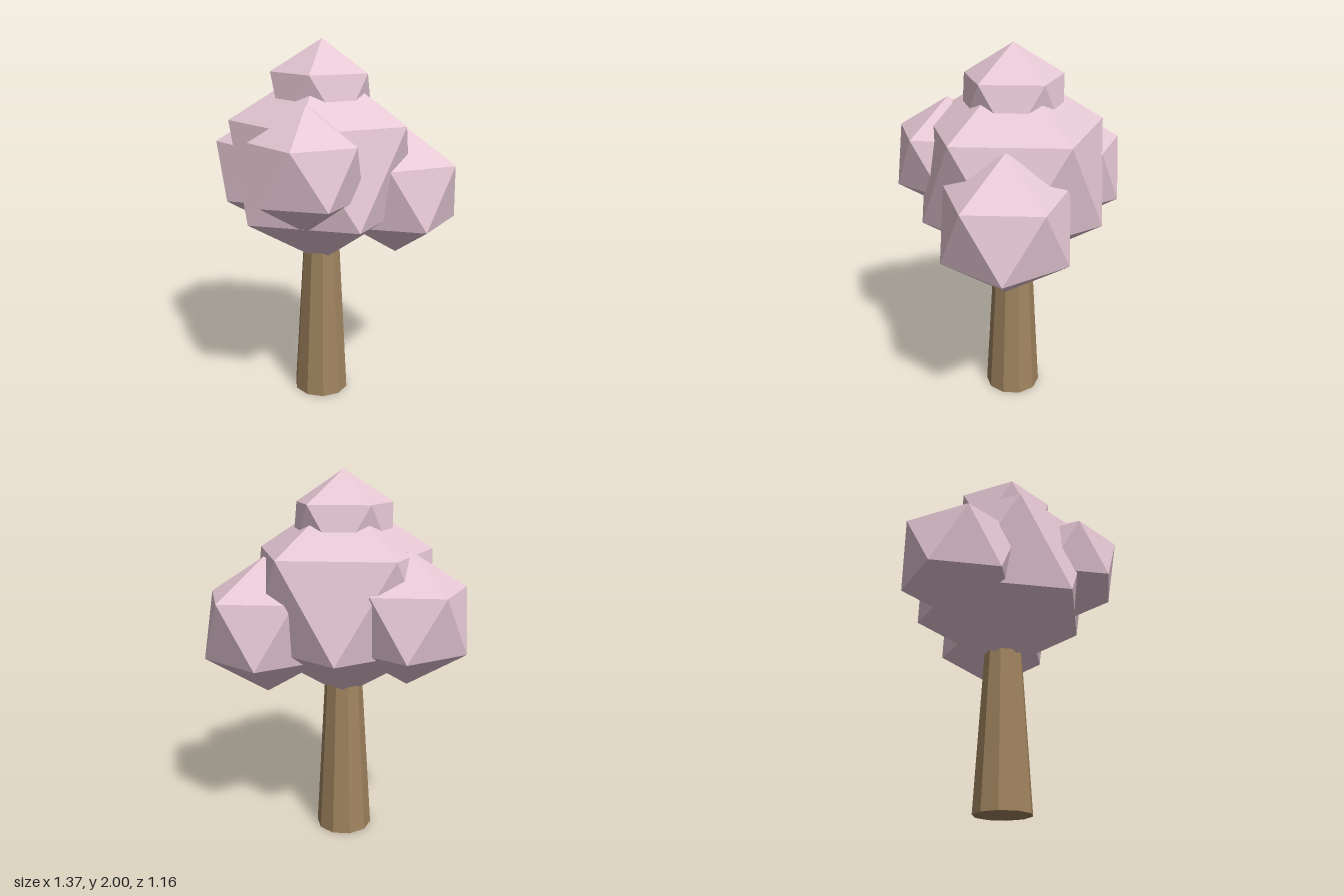
import * as THREE from 'three';

const leafMaterial = new THREE.MeshStandardMaterial({ color: 0xe6c8d4, flatShading: true });
const barkMaterial = new THREE.MeshStandardMaterial({ color: 0xa0845f, flatShading: true });

// Icosahedron standing on one corner, with a corner of its upper ring towards +x
function leafClump(name, radius, x, y, z) {
  const geometry = new THREE.IcosahedronGeometry(radius, 0);
  geometry.rotateZ(-Math.atan(2 / (1 + Math.sqrt(5))));
  const mesh = new THREE.Mesh(geometry, leafMaterial);
  mesh.name = name;
  mesh.position.set(x, y, z);
  return mesh;
}

export function createModel() {
  const tree = new THREE.Group();
  tree.name = 'tree';

  // Tapered ten-sided trunk, its top hidden in the crown
  const trunkHeight = 1;
  const trunk = new THREE.Mesh(
    new THREE.CylinderGeometry(0.096, 0.155, trunkHeight, 10),
    barkMaterial
  );
  trunk.name = 'trunk';
  trunk.position.set(0.01, trunkHeight / 2, -0.04);
  tree.add(trunk);

  // Crown of overlapping leaf clumps
  const crown = new THREE.Group();
  crown.name = 'crown';
  crown.add(
    leafClump('mainClump', 0.553, 0.01, 1.337, -0.04),
    leafClump('topClump', 0.302, 0.01, 1.698, -0.04),
    leafClump('backLeftClump', 0.365, 0.358, 1.2, -0.27),
    leafClump('rightClump', 0.347, -0.378, 1.267, -0.11),
    leafClump('frontClump', 0.319, 0.13, 1.383, 0.305)
  );
  tree.add(crown);

  return tree;
}
